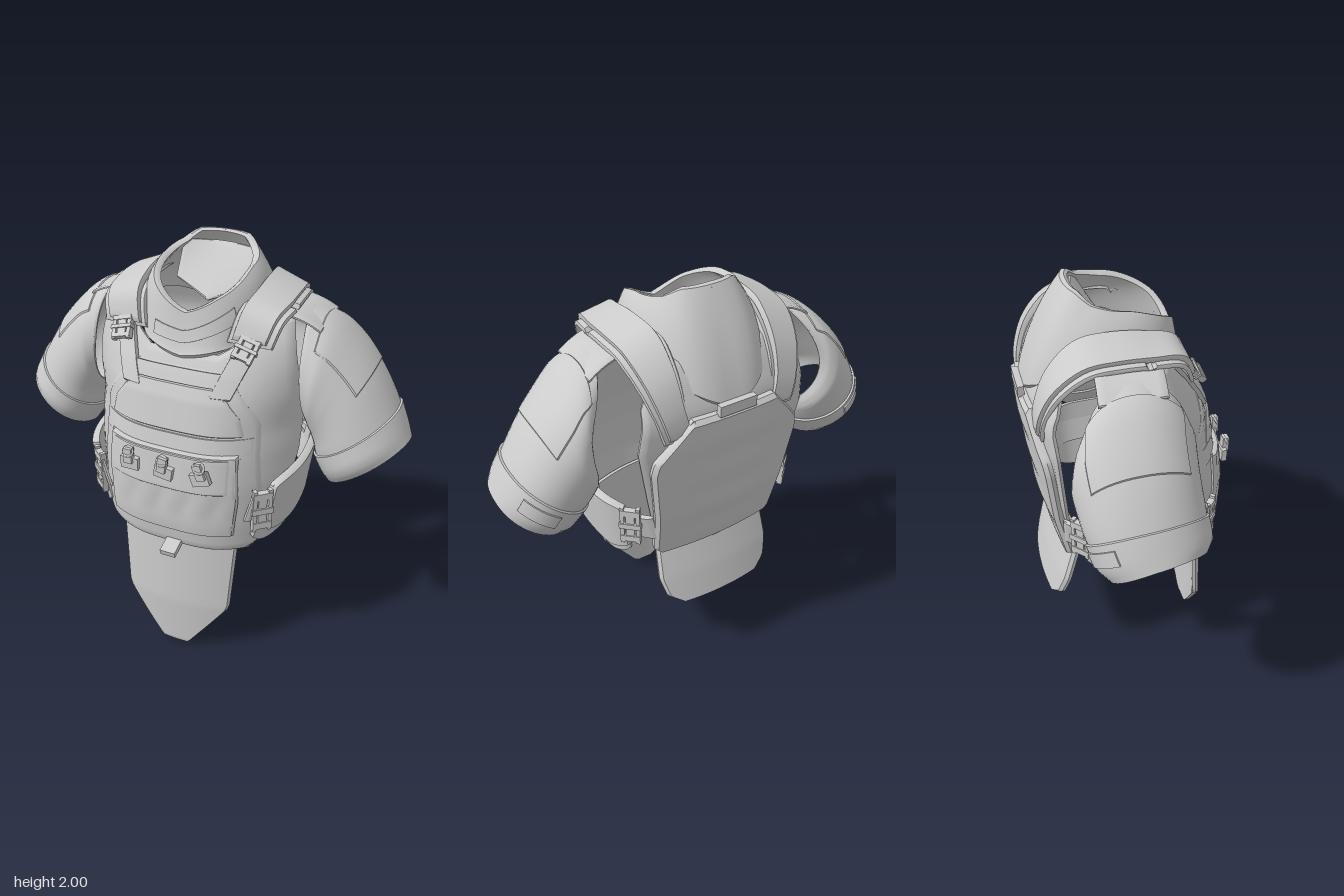
import * as THREE from 'three';
import { toCreasedNormals } from 'three/addons/utils/BufferGeometryUtils.js';

const V = (x, y, z) => new THREE.Vector3(x, y, z);
const lerp = THREE.MathUtils.lerp;
const clamp = THREE.MathUtils.clamp;

// piecewise linear table: [[key, value], ...]
function tab(rows, k) {
  if (k <= rows[0][0]) return rows[0][1];
  for (let i = 1; i < rows.length; i++) {
    const [a, p] = rows[i - 1], [b, q] = rows[i];
    if (k <= b) return lerp(p, q, (k - a) / (b - a));
  }
  return rows[rows.length - 1][1];
}

// even steps with a narrow bevel strip at both ends
function steps(n, bevel) {
  const a = [];
  for (let i = 0; i <= n; i++) a.push(i / n);
  if (bevel) { a.splice(1, 0, 0.025); a.splice(n + 1, 0, 0.975); }
  return a;
}

// padded sheet: surface f(u, v), thickened outward along its normal
function shell(f, thick, nu = 24, nv = 24, closed = false) {
  const us = steps(nu, !closed), vs = steps(nv, true), U = us.length, W = vs.length;
  const pos = [[], []], e = 0.004;
  const cu = u => (closed ? u : clamp(u, 0, 1)), cv = v => clamp(v, 0, 1);
  vs.forEach((v, j) => us.forEach((u, i) => {
    const p = f(u, v);
    const n = f(cu(u + e), v).sub(f(cu(u - e), v)).cross(f(u, cv(v + e)).sub(f(u, cv(v - e)))).normalize();
    const rim = j === 0 || j === W - 1 || (!closed && (i === 0 || i === U - 1));
    pos[0].push(p.clone().addScaledVector(n, thick * (rim ? 0.55 : 1)));
    pos[1].push(p);
  }));
  const all = pos[0].concat(pos[1]), N = U * W, idx = [];
  const quad = (a, b, c, d) => idx.push(a, b, c, a, c, d);
  for (let j = 0; j < W - 1; j++) for (let i = 0; i < U - 1; i++) {
    const a = j * U + i, b = a + 1, c = b + U, d = a + U;
    quad(a, b, c, d);
    quad(N + b, N + a, N + d, N + c);
  }
  for (let i = 0; i < U - 1; i++) {
    const t = (W - 1) * U + i;
    quad(i + 1, i, N + i, N + i + 1);
    quad(t, t + 1, N + t + 1, N + t);
  }
  if (!closed) for (let j = 0; j < W - 1; j++) {
    const a = j * U, b = a + U - 1;
    quad(a, a + U, N + a + U, N + a);
    quad(b + U, b, N + b, N + b + U);
  }
  const g = new THREE.BufferGeometry().setFromPoints(all);
  g.setIndex(idx);
  return toCreasedNormals(g, 0.7);
}

const mirror = (f, s) => (s > 0 ? f : (u, v) => { const p = f(1 - u, v); p.x *= -1; return p; });

// front of the torso
const chestLine = [[0.7, 0.385], [0.85, 0.4], [1.05, 0.4], [1.2, 0.38], [1.44, 0.32], [1.55, 0.27], [1.65, 0.21], [1.75, 0.13], [1.8, 0.06]];
const frontZ = (x, y) => tab(chestLine, y) - 0.3 * Math.pow(Math.abs(x) / 0.48, 3.2) * tab([[1.3, 1], [1.75, 0.35]], y);
// back of the torso
const backLine = [[0.76, -0.33], [1.02, -0.39], [1.4, -0.44], [1.54, -0.45], [1.7, -0.38], [1.8, -0.3]];
const backZ = (x, y) => tab(backLine, y) + 0.035 * Math.pow(x / 0.36, 2);

// symmetric panel laid on a depth function; widths = [[y, half width], ...]
function panel(widths, depth, off, back) {
  const y0 = widths[0][0], y1 = widths[widths.length - 1][0];
  return (u, v) => {
    const y = lerp(y0, y1, v), x = (u * 2 - 1) * tab(widths, y) * (back ? -1 : 1);
    return V(x, y, depth(x, y) + off);
  };
}

export function createModel() {
  const root = new THREE.Group();
  const mat = new THREE.MeshStandardMaterial({ color: 0xcccccc, side: THREE.DoubleSide });
  const add = (name, geo, parent = root) => {
    const m = new THREE.Mesh(geo, mat);
    m.name = name;
    parent.add(m);
    return m;
  };
  const box = (name, w, h, d, x, y, z, parent) => {
    const m = add(name, new THREE.BoxGeometry(w, h, d), parent);
    m.position.set(x, y, z);
    return m;
  };
  // clasp: two side bars, three slats and a centre tongue, facing +z
  const buckle = (name, x, y, z, h, yaw, pitch = 0, roll = 0) => {
    const g = new THREE.Group();
    g.name = name;
    for (const s of [-1, 1]) {
      box('claspBar', 0.018, h, 0.025, s * 0.036, 0, 0, g);
      box('claspSlat', 0.09, h * 0.16, 0.03, 0, s * h * 0.36, 0, g);
    }
    box('claspSlat', 0.1, h * 0.14, 0.035, 0, 0, 0, g);
    box('claspTongue', 0.04, h * 0.8, 0.022, 0, 0, 0, g);
    g.position.set(x, y, z);
    g.rotation.set(pitch, yaw, roll, 'YXZ');
    root.add(g);
  };

  // soft vest front with neck cut-out
  const vestW = [[0.7, 0.34], [0.76, 0.41], [1, 0.46], [1.15, 0.48], [1.35, 0.48], [1.55, 0.46], [1.78, 0.42]];
  add('vestFront', shell((u, v) => {
    const k = u * 2 - 1;
    const top = tab([[0.35, 1.61], [0.6, 1.68], [0.75, 1.77]], Math.abs(k));
    const y = lerp(0.7, top, v), x = k * tab(vestW, y);
    return V(x, y, frontZ(x, y) - 0.03);
  }, 0.03, 40, 30));

  // plate carrier, chest panel, pouch panel and cross bar
  const frontPanel = (name, widths, off, thick, nu = 28, nv = 20) =>
    add(name, shell(panel(widths, frontZ, off), thick, nu, nv));
  frontPanel('carrierFront', [[0.695, 0.34], [0.74, 0.385], [0.95, 0.395], [1.2, 0.37], [1.36, 0.36], [1.56, 0.22]], -0.005, 0.02);
  frontPanel('chestPanel', [[1.3, 0.31], [1.38, 0.29], [1.5, 0.2]], 0.01, 0.02);
  frontPanel('crossBar', [[1.5, 0.22], [1.56, 0.21]], 0.01, 0.018, 16, 4);
  frontPanel('waistBand', [[1.2, 0.36], [1.29, 0.36]], 0.01, 0.01, 28, 4);
  const rippled = (x, y) => frontZ(x, y) + 0.004 * Math.sin(x * 50) * Math.exp(-Math.pow((y - 0.97) / 0.06, 2));
  add('pouchPanel', shell(panel([[0.8, 0.29], [1, 0.305], [1.22, 0.295]], rippled, 0.008), 0.032, 48, 20));
  frontPanel('pouchFlap', [[1.04, 0.28], [1.21, 0.28]], 0.036, 0.01);

  // small clips on the pouch flap
  [-0.17, 0, 0.17].forEach((x, i) => {
    const z = frontZ(x, 1.14) + 0.06, roll = [0, -0.15, 0.35][i];
    box('clipBody', 0.085, 0.06, 0.025, x, 1.13, z).rotation.z = roll;
    box('clipTab', 0.04, 0.075, 0.03, x, 1.175, z + 0.012).rotation.z = roll;
    const ring = add('clipRing', new THREE.TorusGeometry(0.022, 0.007, 6, 14));
    ring.position.set(x, 1.195, z + 0.015);
    ring.rotation.x = -0.5;
  });
  box('pullTab', 0.075, 0.03, 0.09, 0.02, 0.7, 0.435).rotation.x = 0.25;

  // hanging front and back flaps
  const groinZ = (x, y) => tab([[0, 0.345], [0.3, 0.355], [0.75, 0.33]], y) - 0.06 * Math.pow(x / 0.3, 2);
  add('frontFlap', shell(panel([[0.005, 0.04], [0.015, 0.06], [0.04, 0.08], [0.29, 0.26], [0.32, 0.27], [0.75, 0.295]], groinZ, 0), 0.03, 20, 40));
  const tailZ = (x, y) => tab([[0.44, -0.415], [0.6, -0.375], [0.84, -0.3]], y) + 0.035 * Math.pow(x / 0.3, 2);
  add('backFlap', shell(panel([[0.44, 0.2], [0.5, 0.28], [0.6, 0.305], [0.84, 0.29]], tailZ, 0, true), 0.03));

  // back panel, plate and grab handle
  add('vestBack', shell(panel([[0.8, 0.3], [1.1, 0.36], [1.4, 0.415], [1.6, 0.39], [1.76, 0.3]], backZ, 0.02, true), 0.025));
  const plateZ = (x, y) => backZ(x, y) - 0.003 * Math.sin(y * 32) * Math.max(0, 1 - Math.abs(x) / 0.3);
  add('backPlate', shell(panel([[0.76, 0.28], [0.8, 0.32], [1, 0.335], [1.3, 0.37], [1.36, 0.36], [1.54, 0.2]], plateZ, 0, true), 0.042, 24, 40));
  box('grabHandle', 0.18, 0.05, 0.03, 0, 1.555, -0.475);

  // collar: high at the back, dipped at the front
  const collar = (u, v) => {
    const a = (u * 2 - 1) * Math.PI, s = Math.sin(a), c = Math.cos(a), d = Math.abs(a) / Math.PI;
    const y0 = tab([[0, 1.58], [0.25, 1.63], [0.5, 1.75], [0.75, 1.64], [1, 1.53]], d);
    const y1 = tab([[0, 1.78], [0.2, 1.845], [0.5, 1.915], [0.72, 1.95], [0.84, 1.99], [1, 1.995]], d);
    const x = Math.sign(s) * Math.pow(Math.abs(s), 0.8) * (0.245 - 0.06 * v * v * v);
    const zz = Math.sign(c) * Math.pow(Math.abs(c), 0.8);
    const reach = c > 0 ? lerp(0.325, 0.205, Math.pow(v, 0.7)) : lerp(0.36, 0.2, v) + 0.1 * v * (1 - v);
    return V(x, lerp(y0, y1, v), lerp(-0.08, -0.03, v) + zz * reach);
  };
  add('collar', shell(collar, 0.03, 64, 18, true));
  add('throatTab', shell((u, v) => collar(lerp(0.42, 0.64, u), lerp(0.3, 0.58, v) + (u - 0.3) * 0.25), 0.036, 14, 5));
  // lining sloping from the back rim to a point behind the neck
  add('collarLining', shell((u, v) => {
    const k = u * 2 - 1;
    return V(k * 0.18, lerp(1.74 + 0.06 * Math.abs(k), 1.95, v), lerp(-0.04 - 0.07 * Math.abs(k), -0.23 + 0.04 * k * k, v));
  }, 0.012, 16, 8));

  for (const s of [1, -1]) {
    const side = s > 0 ? 'left' : 'right';
    const put = (name, f, thick, nu, nv, closed) => add(side + name, shell(mirror(f, s), thick, nu, nv, closed));

    // shoulder yoke and padded strap over the shoulder
    const path = new THREE.CatmullRomCurve3([V(0.285, 1.69, 0.19), V(0.31, 1.79, 0.14), V(0.325, 1.82, 0.02), V(0.325, 1.83, -0.12),
      V(0.315, 1.81, -0.25), V(0.3, 1.71, -0.36), V(0.28, 1.58, -0.415), V(0.25, 1.46, -0.43)]);
    const ribbon = (curve, w, drop) => (u, v) => {
      const p = curve.getPoint(v);
      const taper = tab([[0.6, 1], [0.85, 0.7]], v), slope = 0.06 * Math.sin(v * Math.PI) * (u - 0.5);
      return V(p.x + (u - 0.5) * w * taper, p.y - drop - slope, p.z - drop * 0.3 * Math.sign(p.z));
    };
    put('ShoulderYoke', ribbon(path, 0.2, 0.018), 0.018, 8, 36);
    put('ShoulderStrap', ribbon(path, 0.15, 0), 0.026, 8, 36);
    // webbing strap running down to the chest
    put('ChestStrap', (u, v) => {
      const y = lerp(1.46, 1.72, v), x = lerp(0.2, 0.3, v) + (u - 0.5) * 0.09;
      return V(x, y, frontZ(x, y) + 0.012);
    }, 0.02, 6, 14);
    buckle(side + 'ShoulderBuckle', s * 0.285, 1.675, 0.23, 0.11, s * 0.2, -0.75, -s * 0.35);

    // side band, lower pad and their clasps
    const band = new THREE.CatmullRomCurve3([V(0.36, 0, 0.33), V(0.425, 0, 0.25), V(0.47, 0, 0.1), V(0.475, 0, -0.08), V(0.45, 0, -0.22), V(0.33, 0, -0.36)]);
    const wrap = (u0, u1, y0, y1, grow) => (u, v) => {
      const p = band.getPoint(lerp(u0, u1, u));
      return V(p.x + grow + 0.035 * (v - 0.6), lerp(y0(u), y1(u), v), p.z);
    };
    const round = u => 0.05 * Math.pow(Math.abs(u * 2 - 1), 6);
    put('SideWebbing', wrap(0, 1, () => 0.88, () => 1.02, -0.005), 0.02, 28, 6);
    put('SidePad', wrap(0.17, 0.87, u => 0.79 + round(u), u => 1.09 - 0.5 * round(u), 0), 0.035, 28, 12);
    put('LowerPad', wrap(0.1, 0.84, u => 0.735 + round(u), () => 0.95, -0.02), 0.025, 28, 10);
    buckle(side + 'FrontClasp', s * 0.41, 0.94, 0.3, 0.22, s * 0.7);
    buckle(side + 'BackClasp', s * 0.425, 0.97, -0.305, 0.2, s * 2.4);

    // sleeve: loops fanning from the tilted, tapered cuff to an armhole that opens backward
    const topLine = new THREE.CatmullRomCurve3([V(0.935, 1.21, -0.08), V(0.865, 1.35, -0.11), V(0.765, 1.51, -0.12), V(0.66, 1.63, -0.12), V(0.56, 1.715, -0.1), V(0.46, 1.755, -0.08)]);
    const lowLine = new THREE.CatmullRomCurve3([V(0.645, 1, -0.04), V(0.565, 1.12, -0.07), V(0.55, 1.16, -0.09), V(0.54, 1.19, -0.1), V(0.535, 1.21, -0.1), V(0.53, 1.23, -0.1)]);
    const sleeve = (u, v) => {
      const a = u * Math.PI * 2, sn = Math.sin(a), k = (1 + Math.cos(a)) / 2;
      const w = tab([[0, 0.185], [0.07, 0.225], [0.25, 0.24], [0.6, 0.25], [0.8, 0.245], [1, 0.215]], v);
      const p = lowLine.getPoint(v).lerp(topLine.getPoint(v), k), tilt = 0.03 * sn * Math.pow(1 - v, 3);
      const fan = v * v * sn * sn * (0.05 + 0.05 * sn);
      const bulge = sn > 0 ? Math.pow(sn, 0.85) : sn;
      return V(p.x + 0.5 * tilt + fan, p.y - 0.85 * tilt, p.z - bulge * w);
    };
    put('Sleeve', sleeve, 0.015, 48, 30, true);
    put('Cuff', (u, v) => sleeve(u, lerp(0, 0.2, v)), 0.024, 48, 6, true);
    put('SleevePlate', (u, v) => sleeve(lerp(-0.14, 0.14, u), lerp(0.42, 0.88, v)), 0.02, 18, 14);
    put('CuffTab', (u, v) => sleeve(lerp(0.1, 0.24, u), lerp(0.08, 0.16, v)), 0.03, 8, 4);
    // tab joining the sleeve to the shoulder
    put('SleeveTab', (u, v) => V(lerp(0.36, 0.54, u), lerp(1.775, 1.715, u * u), lerp(0.06, -0.22, v) - 0.02 * u), 0.012, 10, 8);
  }
  return root;
}
